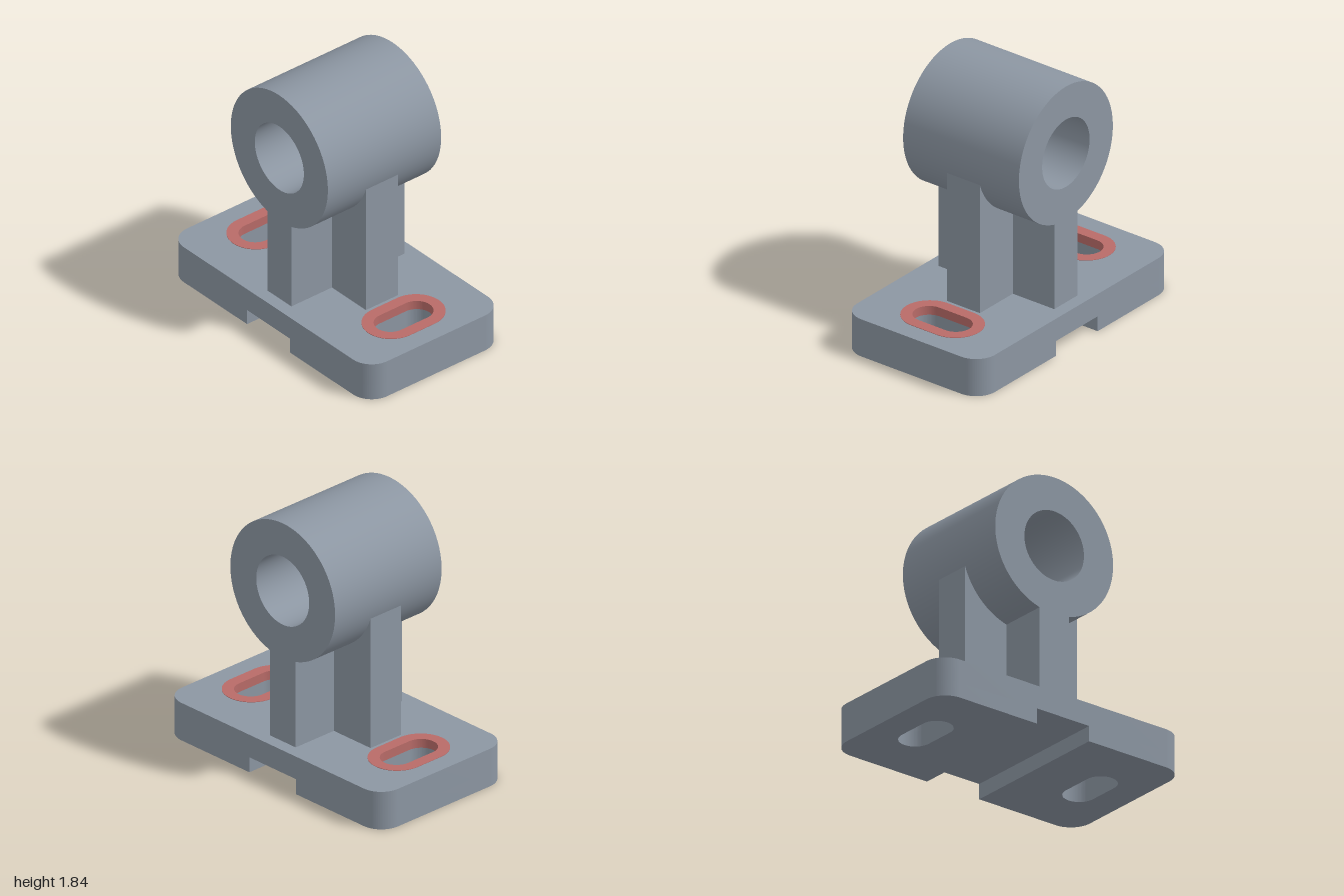
import * as THREE from 'three';
import { toCreasedNormals } from 'three/addons/utils/BufferGeometryUtils.js';

const BASE_TOP = 0.27, CHANNEL_TOP = 0.108, CHANNEL_HALF = 0.215;
const HUB_Y = 1.355, HUB_R = 0.485, BORE_R = 0.245;
const SLOT_X = 0.675;

// Extrude a profile and smooth only its curved walls
function extrude(shape, depth) {
  const geometry = new THREE.ExtrudeGeometry(shape, { depth, bevelEnabled: false, curveSegments: 32 });
  return toCreasedNormals(geometry, Math.PI / 6);
}

// Front profile, extruded symmetrically along z
function upright(shape, halfDepth) {
  return extrude(shape, halfDepth * 2).translate(0, 0, -halfDepth);
}

// Plan profile, extruded upward from y0 to y1
function slab(shape, y0, y1) {
  return extrude(shape, y1 - y0).rotateX(-Math.PI / 2).translate(0, y0, 0);
}

// Slot outline with round ends, running along z
function slotPath(PathType, x, halfWidth, halfLength) {
  const path = new PathType();
  const c = halfLength - halfWidth;
  path.moveTo(x + halfWidth, -c);
  path.lineTo(x + halfWidth, c);
  path.absarc(x, c, halfWidth, 0, Math.PI, false);
  path.lineTo(x - halfWidth, -c);
  path.absarc(x, -c, halfWidth, Math.PI, Math.PI * 2, false);
  return path;
}

// Base outline from x = left to x = 1, with rounded outer corners
function baseShape(left, roundLeft) {
  const w = 1, d = 0.565, r = 0.155;
  const s = new THREE.Shape();
  s.moveTo(w, -d + r);
  s.lineTo(w, d - r);
  s.absarc(w - r, d - r, r, 0, Math.PI / 2, false);
  if (roundLeft) {
    s.absarc(left + r, d - r, r, Math.PI / 2, Math.PI, false);
    s.absarc(left + r, -d + r, r, Math.PI, Math.PI * 1.5, false);
  } else {
    s.lineTo(left, d);
    s.lineTo(left, -d);
  }
  s.absarc(w - r, -d + r, r, Math.PI * 1.5, Math.PI * 2, false);
  return s;
}

export function createModel() {
  const model = new THREE.Group();
  model.name = 'bearingBracket';
  const steel = new THREE.MeshStandardMaterial({ color: 0x8c96a2 });
  steel.name = 'greySteel';
  const red = new THREE.MeshStandardMaterial({ color: 0xb86b68 });
  red.name = 'mutedRed';

  const add = (name, geometry, material = steel) => {
    const mesh = new THREE.Mesh(geometry, material);
    mesh.name = name;
    model.add(mesh);
    return mesh;
  };

  // Base plate above the channel
  const plate = baseShape(-1, true);
  for (const side of [-1, 1]) plate.holes.push(slotPath(THREE.Path, side * SLOT_X, 0.11, 0.22));
  add('basePlate', slab(plate, CHANNEL_TOP, BASE_TOP));

  // Feet either side of the channel, and red slot liners with flush rims
  for (const side of [1, -1]) {
    const prefix = side > 0 ? 'left' : 'right';
    const foot = baseShape(CHANNEL_HALF, false);
    foot.holes.push(slotPath(THREE.Path, SLOT_X, 0.11, 0.22));
    add(prefix + 'Foot', slab(foot, 0, CHANNEL_TOP)).rotation.y = side > 0 ? 0 : Math.PI;

    const rim = slotPath(THREE.Shape, side * SLOT_X, 0.19, 0.295);
    rim.holes.push(slotPath(THREE.Path, side * SLOT_X, 0.108, 0.218));
    add(prefix + 'SlotRim', slab(rim, BASE_TOP - 0.06, BASE_TOP + 0.003), red);
  }

  // Bored hub and its full-depth central web in one profile
  const webHalf = 0.12;
  const webAngle = Math.acos(webHalf / HUB_R);
  const hub = new THREE.Shape();
  hub.moveTo(-webHalf, BASE_TOP);
  hub.lineTo(webHalf, BASE_TOP);
  hub.absarc(0, HUB_Y, HUB_R, -webAngle, Math.PI + webAngle, false);
  hub.closePath();
  hub.holes.push(new THREE.Path().absarc(0, HUB_Y, BORE_R, 0, Math.PI * 2, true));
  add('hubAndWeb', upright(hub, 0.475));

  // Cross rib, its top cradling the hub
  const ribHalf = 0.46;
  const ribAngle = Math.acos(ribHalf / HUB_R);
  const rib = new THREE.Shape();
  rib.moveTo(-ribHalf, BASE_TOP);
  rib.lineTo(ribHalf, BASE_TOP);
  rib.absarc(0, HUB_Y, HUB_R, -ribAngle, -Math.PI + ribAngle, true);
  rib.closePath();
  add('crossRib', upright(rib, 0.135));

  return model;
}
